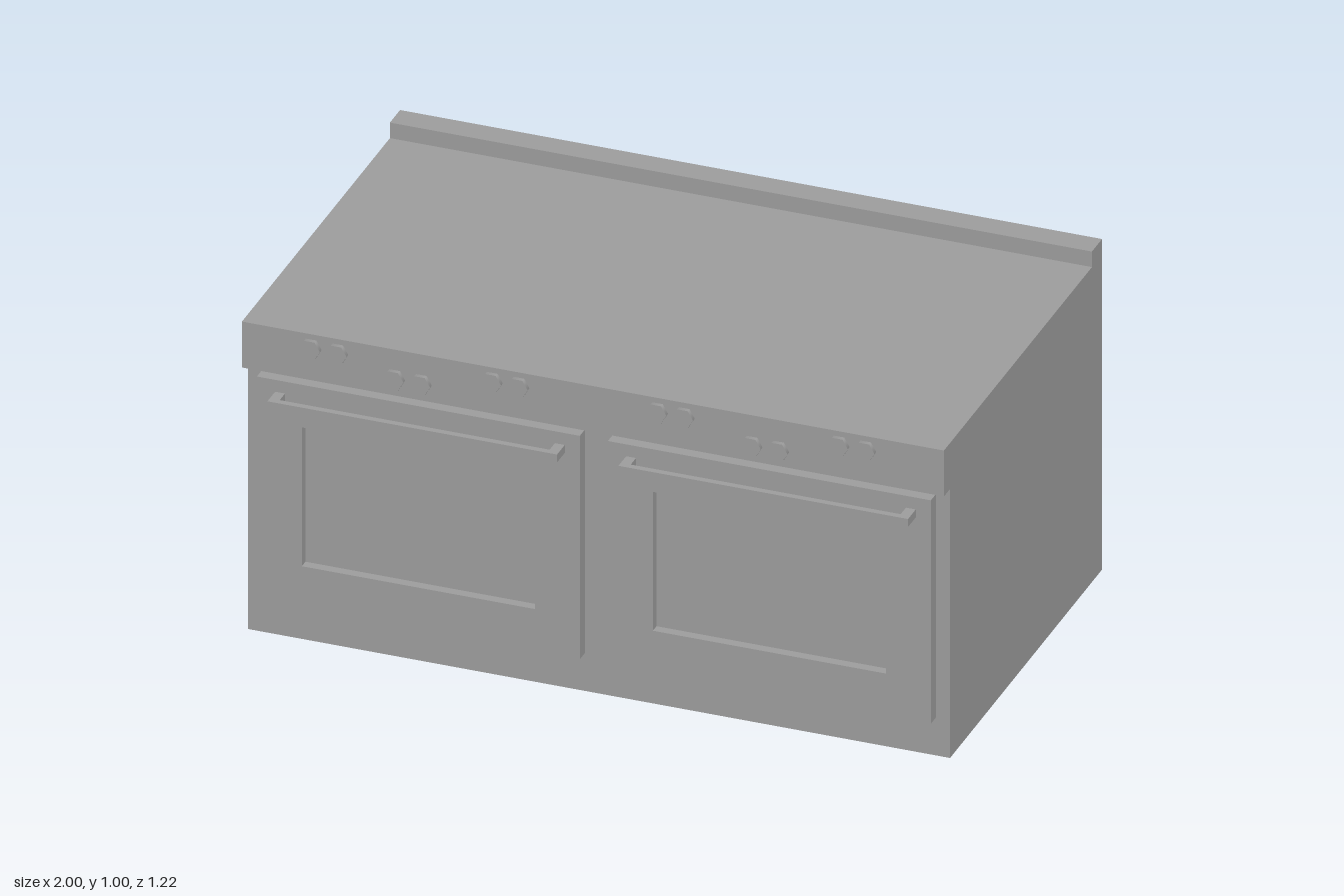
import * as THREE from 'three';

const material = new THREE.MeshStandardMaterial({ color: 0x9c9c9c });

function add(parent, name, geometry, x = 0, y = 0, z = 0) {
  const mesh = new THREE.Mesh(geometry, material);
  mesh.name = name;
  mesh.position.set(x, y, z);
  parent.add(mesh);
}

// Box given by its minimum and maximum on each axis
function addBox(parent, name, [x0, x1], [y0, y1], [z0, z1]) {
  add(parent, name, new THREE.BoxGeometry(x1 - x0, y1 - y0, z1 - z0),
    (x0 + x1) / 2, (y0 + y1) / 2, (z0 + z1) / 2);
}

const rect = (Type, x0, x1, y0, y1) => new Type([
  new THREE.Vector2(x0, y0), new THREE.Vector2(x1, y0),
  new THREE.Vector2(x1, y1), new THREE.Vector2(x0, y1),
]);

const FRONT = 0.515, DOOR_FRONT = 0.553, PANEL = 0.56;

export function createModel() {
  const root = new THREE.Group();
  root.name = 'doubleOvenRange';

  // Body: side profile (z, y) with control panel overhang and rear upstand
  const profile = new THREE.Shape([
    [-0.61, 0], [FRONT, 0], [FRONT, 0.814], [PANEL, 0.814],
    [PANEL, 0.953], [-0.535, 0.953], [-0.535, 1], [-0.61, 1],
  ].map(([z, y]) => new THREE.Vector2(z, y)));
  const body = new THREE.ExtrudeGeometry(profile, { depth: 2, bevelEnabled: false });
  body.rotateY(-Math.PI / 2);
  add(root, 'body', body, 1);

  // Oven doors: frame, recessed window and bar handle
  for (const [side, cx] of [['left', 0.5], ['right', -0.5]]) {
    const door = new THREE.Group();
    door.name = side + 'Door';
    door.position.x = cx;
    root.add(door);

    const frame = rect(THREE.Shape, -0.46, 0.46, 0.115, 0.791);
    frame.holes.push(rect(THREE.Path, -0.332, 0.332, 0.242, 0.662));
    add(door, 'doorFrame', new THREE.ExtrudeGeometry(frame, {
      depth: DOOR_FRONT - FRONT, bevelEnabled: false,
    }), 0, 0, FRONT);
    addBox(door, 'window', [-0.332, 0.332], [0.242, 0.662], [FRONT, 0.526]);

    const handleY = [0.731, 0.755];
    addBox(door, 'handleBar', [-0.408, 0.417], handleY, [0.592, 0.61]);
    addBox(door, 'handlePost', [-0.408, -0.38], handleY, [DOOR_FRONT, 0.592]);
    addBox(door, 'handlePost', [0.389, 0.417], handleY, [DOOR_FRONT, 0.592]);
  }

  // Control knobs: six pairs of hexagonal discs with smooth sides
  const knob = new THREE.CylinderGeometry(0.03, 0.03, 0.013, 6, 1, false, Math.PI / 6);
  knob.rotateX(Math.PI / 2);
  const pairs = [
    [-0.765, 0.911], [-0.527, 0.865], [-0.249, 0.911],
    [0.222, 0.911], [0.491, 0.862], [0.739, 0.911],
  ];
  for (const [x, y] of pairs) {
    for (const dx of [-0.038, 0.038]) add(root, 'knob', knob, x + dx, y, PANEL + 0.0065);
  }

  return root;
}
